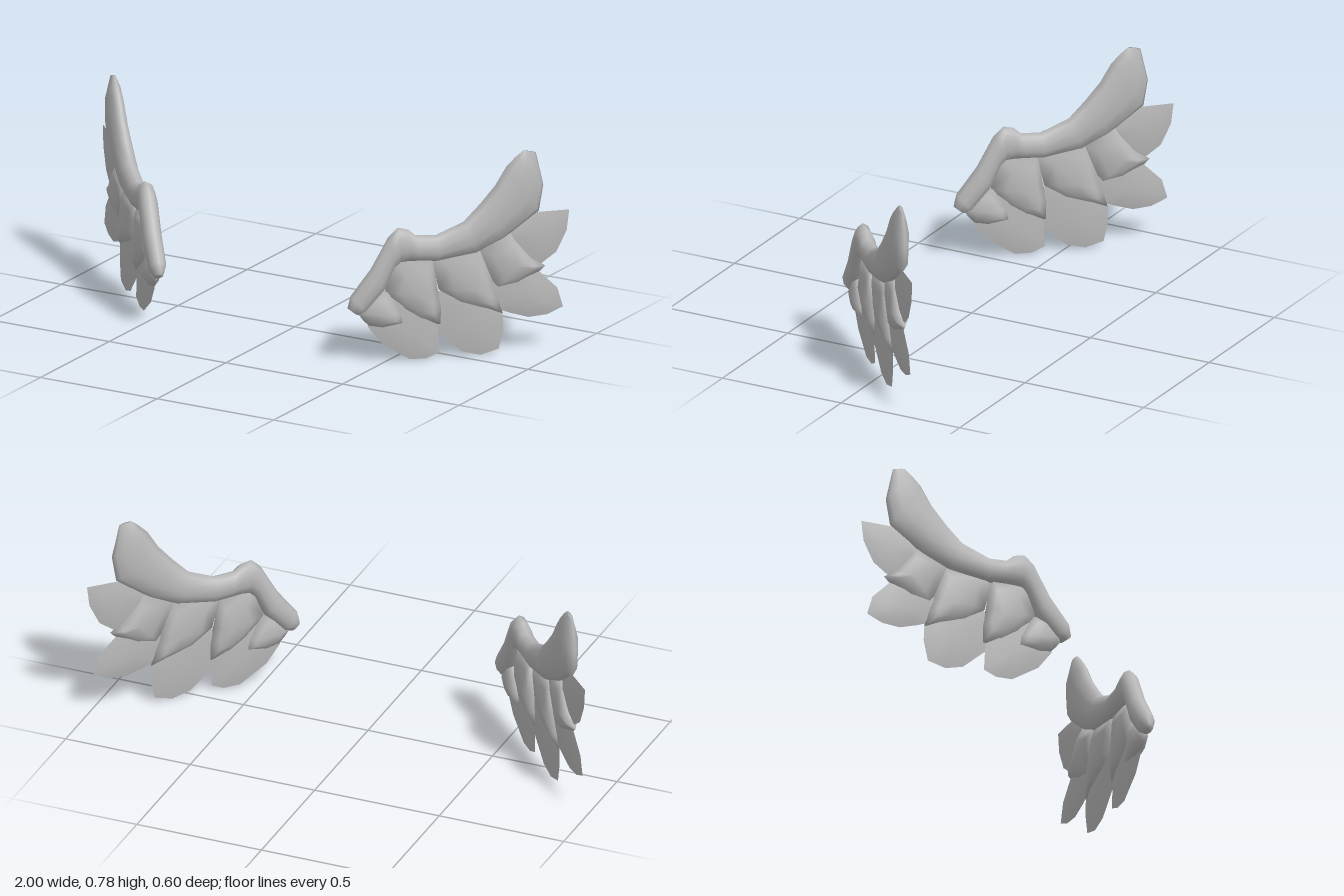
import * as THREE from 'three';

const S = Math.SQRT2; // the wing plane stands at 45 degrees, so outlines are stretched along it

function makeGeometry(pos, idx) {
  const g = new THREE.BufferGeometry();
  g.setAttribute('position', new THREE.Float32BufferAttribute(pos, 3));
  g.setIndex(idx);
  g.computeVertexNormals();
  return g;
}

// Tube of elliptical sections, each given as [topU, topY, bottomU, bottomY, halfThickness]
function loft(sections, sides = 10) {
  const pos = [], idx = [], n = sections.length;
  for (const [tu, ty, bu, by, t] of sections) {
    for (let j = 0; j < sides; j++) {
      const a = (j / sides) * Math.PI * 2, c = Math.cos(a) / 2;
      pos.push(S * ((tu + bu) / 2 + (tu - bu) * c), (ty + by) / 2 + (ty - by) * c, t * Math.sin(a));
    }
  }
  for (let i = 0; i < n - 1; i++) {
    for (let j = 0; j < sides; j++) {
      const k = (j + 1) % sides, a = i * sides, b = a + sides;
      idx.push(a + j, a + k, b + j, a + k, b + k, b + j);
    }
  }
  for (const [i, flip] of [[0, true], [n - 1, false]]) {
    const [tu, ty, bu, by] = sections[i], c = pos.length / 3, a = i * sides;
    pos.push(S * (tu + bu) / 2, (ty + by) / 2, 0);
    for (let j = 0; j < sides; j++) {
      const k = (j + 1) % sides;
      idx.push(c, a + (flip ? k : j), a + (flip ? j : k));
    }
  }
  return makeGeometry(pos, idx);
}

// Two-sided lens over a counterclockwise outline; a soft one shares normals round its rim
function lens(outline, t, soft) {
  const pos = [], idx = [], n = outline.length;
  const cu = outline.reduce((s, p) => s + p[0], 0) / n;
  const cy = outline.reduce((s, p) => s + p[1], 0) / n;
  const ring = (k, z) => {
    const start = pos.length / 3;
    for (const [u, y] of outline) pos.push(S * (cu + (u - cu) * k), cy + (y - cy) * k, z);
    return start;
  };
  const rim = ring(1, 0);
  for (const s of [1, -1]) {
    const outer = s === 1 || soft ? rim : ring(1, 0);
    const inner = ring(0.6, s * t * 0.8);
    const c = pos.length / 3;
    pos.push(S * cu, cy, s * t);
    const tri = (a, b, d) => (s === 1 ? idx.push(a, b, d) : idx.push(a, d, b));
    for (let i = 0; i < n; i++) {
      const k = (i + 1) % n;
      tri(outer + i, outer + k, inner + i);
      tri(outer + k, inner + k, inner + i);
      tri(inner + i, inner + k, c);
    }
  }
  return makeGeometry(pos, idx);
}

// Arm from the shoulder over the elbow to the raised tip
const ARM = [
  [-0.298, 0.225, -0.27, 0.195, 0.018],
  [-0.29, 0.27, -0.25, 0.205, 0.034],
  [-0.235, 0.37, -0.197, 0.285, 0.036],
  [-0.187, 0.49, -0.172, 0.365, 0.036],
  [-0.163, 0.522, -0.155, 0.386, 0.035],
  [-0.135, 0.512, -0.13, 0.388, 0.035],
  [-0.115, 0.487, -0.1, 0.386, 0.035],
  [-0.06, 0.482, -0.055, 0.38, 0.036],
  [0.015, 0.525, 0.05, 0.4, 0.038],
  [0.06, 0.59, 0.125, 0.45, 0.038],
  [0.1, 0.655, 0.18, 0.505, 0.036],
  [0.13, 0.725, 0.218, 0.545, 0.034],
  [0.155, 0.76, 0.23, 0.645, 0.028],
  [0.175, 0.782, 0.21, 0.772, 0.008],
];

// Short puffy feathers next to the arm
const COVERTS = [
  [[-0.275, 0.21], [-0.255, 0.172], [-0.24, 0.15], [-0.203, 0.134], [-0.14, 0.145], [-0.147, 0.19], [-0.19, 0.28], [-0.23, 0.28]],
  [[-0.17, 0.4], [-0.197, 0.28], [-0.15, 0.2], [-0.1, 0.152], [-0.045, 0.131], [-0.043, 0.2], [-0.055, 0.275], [-0.07, 0.41]],
  [[-0.075, 0.41], [-0.052, 0.27], [0, 0.21], [0.06, 0.18], [0.12, 0.157], [0.115, 0.21], [0.1, 0.27], [0.06, 0.43]],
  [[0.045, 0.42], [0.1, 0.252], [0.16, 0.265], [0.222, 0.312], [0.235, 0.33], [0.2, 0.365], [0.14, 0.47]],
];

// Long thin feathers behind them
const PRIMARIES = [
  [[-0.25, 0.19], [-0.242, 0.145], [-0.205, 0.075], [-0.13, 0.008], [-0.085, 0.006], [-0.05, 0.026], [-0.053, 0.11], [-0.06, 0.25], [-0.16, 0.29]],
  [[-0.07, 0.25], [-0.053, 0.1], [0.01, 0.022], [0.06, 0.003], [0.11, 0.021], [0.122, 0.1], [0.12, 0.16], [0.08, 0.28], [0, 0.3]],
  [[0.06, 0.28], [0.1, 0.18], [0.14, 0.157], [0.19, 0.135], [0.24, 0.14], [0.283, 0.166], [0.268, 0.24], [0.215, 0.315], [0.14, 0.36]],
  [[0.12, 0.44], [0.18, 0.35], [0.22, 0.335], [0.265, 0.38], [0.293, 0.46], [0.3, 0.54], [0.21, 0.54], [0.16, 0.5]],
];

export function createModel() {
  const grey = new THREE.MeshStandardMaterial({ color: 0xb8b8b8 });
  grey.name = 'featherGrey';

  const parts = [['wingArm', loft(ARM)]];
  COVERTS.forEach((o, i) => parts.push([`covertFeather${i + 1}`, lens(o, 0.027, true)]));
  PRIMARIES.forEach((o, i) => parts.push([`longFeather${i + 1}`, lens(o, 0.009, false)]));

  // Each wing is the same on both faces, so turning it about y mirrors it
  const model = new THREE.Group();
  model.name = 'wings';
  for (const [name, x, turn] of [['leftWing', 0.7, Math.PI / 4], ['rightWing', -0.7, Math.PI * 0.75]]) {
    const wing = new THREE.Group();
    wing.name = name;
    for (const [partName, geometry] of parts) {
      const mesh = new THREE.Mesh(geometry, grey);
      mesh.name = partName;
      wing.add(mesh);
    }
    wing.position.x = x;
    wing.rotation.y = turn;
    model.add(wing);
  }
  return model;
}
